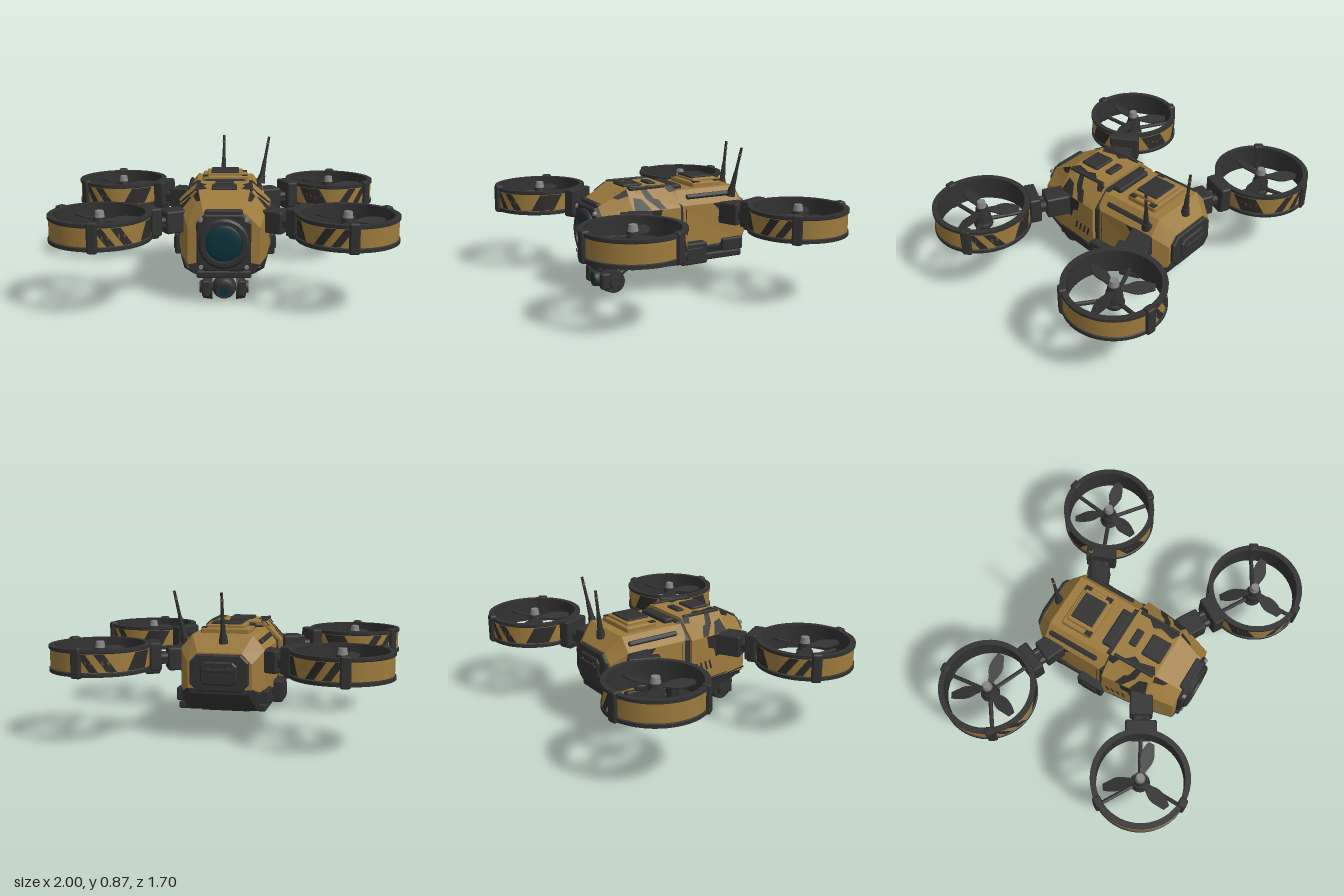
import * as THREE from 'three';
import { toCreasedNormals } from 'three/addons/utils/BufferGeometryUtils.js';
import { RoundedBoxGeometry } from 'three/addons/geometries/RoundedBoxGeometry.js';

const mat = (name, color, extra = {}) => {
  const m = new THREE.MeshStandardMaterial({ color, ...extra });
  m.name = name;
  return m;
};

export function createModel() {
  const root = new THREE.Group();
  root.name = 'quadDrone';
  const gold = mat('ochrePaint', 0x9c7a3c, { side: THREE.DoubleSide });
  const dark = mat('darkPlastic', 0x313131);
  const paint = mat('camoPaint', 0x2c2b29, { side: THREE.DoubleSide });
  const grey = mat('greyMetal', 0x858585);
  const glass = mat('tealGlass', 0x0b323a);

  const add = (parent, name, geo, m, x = 0, y = 0, z = 0) => {
    const mesh = new THREE.Mesh(geo, m);
    mesh.name = name;
    mesh.position.set(x, y, z);
    parent.add(mesh);
    return mesh;
  };
  const box = (parent, name, m, w, h, d, x, y, z, r = 0.012) =>
    add(parent, name, new RoundedBoxGeometry(w, h, d, 1, Math.min(r, w / 3, h / 3, d / 3)), m, x, y, z);
  const pair = (name, m, w, h, d, x, y, z, tilt = 0) => [1, -1].forEach(s => {
    box(root, name, m, w, h, d, s * x, y, z).rotation.z = -s * tilt;
  });
  // Cylinder running between two points
  const rod = (parent, name, m, a, b, r0, r1 = r0, seg = 12) => {
    const A = new THREE.Vector3(...a), B = new THREE.Vector3(...b), d = B.clone().sub(A);
    const mesh = add(parent, name, new THREE.CylinderGeometry(r1, r0, d.length(), seg), m);
    mesh.position.copy(A).add(B).multiplyScalar(0.5);
    mesh.quaternion.setFromUnitVectors(new THREE.Vector3(0, 1, 0), d.normalize());
    return mesh;
  };

  // Six-sided hull sections, listed from rear to front
  const section = (z, tw, ty, sw, sy, bw, by) =>
    [[bw, by], [sw, sy], [tw, ty], [-tw, ty], [-sw, sy], [-bw, by]].map(p => new THREE.Vector3(p[0], p[1], z));
  const loft = rings => {
    const out = [], n = 6, tri = (...p) => p.forEach(v => out.push(v.x, v.y, v.z));
    for (let i = 0; i < rings.length - 1; i++) for (let j = 0; j < n; j++) {
      const k = (j + 1) % n, a = rings[i], b = rings[i + 1];
      tri(a[j], a[k], b[k]);
      tri(a[j], b[k], b[j]);
    }
    const first = rings[0], last = rings[rings.length - 1];
    for (let j = 1; j < n - 1; j++) {
      tri(last[0], last[j], last[j + 1]);
      tri(first[0], first[j + 1], first[j]);
    }
    const g = new THREE.BufferGeometry();
    g.setAttribute('position', new THREE.Float32BufferAttribute(out, 3));
    g.computeVertexNormals();
    return g;
  };
  const rearHull = [
    section(-0.51, 0.13, 0.53, 0.19, 0.47, 0.19, 0.32),
    section(-0.42, 0.18, 0.625, 0.25, 0.54, 0.25, 0.29),
    section(0.0, 0.18, 0.625, 0.255, 0.54, 0.265, 0.27)];
  const frontHull = [
    section(0.012, 0.17, 0.655, 0.285, 0.54, 0.29, 0.25),
    section(0.31, 0.15, 0.655, 0.25, 0.535, 0.255, 0.25),
    section(0.48, 0.12, 0.56, 0.21, 0.47, 0.21, 0.23)];
  add(root, 'rearHull', loft(rearHull), gold);
  add(root, 'frontHull', loft(frontHull), gold);
  add(root, 'hullSeam', loft([section(-0.02, 0.16, 0.635, 0.255, 0.54, 0.268, 0.24),
    section(0.014, 0.16, 0.635, 0.262, 0.54, 0.268, 0.24)]), dark);
  add(root, 'rearUnderside', loft([section(-0.51, 0.18, 0.34, 0.19, 0.33, 0.17, 0.29),
    section(-0.44, 0.22, 0.30, 0.245, 0.27, 0.21, 0.185), section(0, 0.22, 0.28, 0.26, 0.26, 0.24, 0.18)]), dark);
  add(root, 'frontUnderside', loft([section(-0.01, 0.22, 0.28, 0.293, 0.265, 0.275, 0.18),
    section(0.31, 0.22, 0.27, 0.26, 0.255, 0.24, 0.18), section(0.485, 0.16, 0.26, 0.214, 0.25, 0.17, 0.195)]), dark);

  // Flat paint patch on hull panel (i, j); u runs forward, v runs across, both 0..1
  const patch = (name, rings, i, j, uv, both = true) => {
    const g = new THREE.ShapeGeometry(new THREE.Shape(uv.map(p => new THREE.Vector2(...p))));
    const [a, b, c, d] = [rings[i][j], rings[i][j + 1], rings[i + 1][j], rings[i + 1][j + 1]];
    const nrm = b.clone().sub(a).cross(c.clone().sub(a)).normalize().multiplyScalar(0.005);
    const pos = g.attributes.position;
    for (let k = 0; k < pos.count; k++) {
      const u = pos.getX(k), v = pos.getY(k);
      const p = a.clone().lerp(b, v).lerp(c.clone().lerp(d, v), u).add(nrm);
      pos.setXYZ(k, p.x, p.y, p.z);
    }
    g.computeVertexNormals();
    add(root, name, g, paint);
    if (both) add(root, name, g, paint).scale.x = -1;
  };
  for (let k = 0; k < 4; k++) {
    const u = 0.14 + k * 0.12;
    patch('sideSlash', frontHull, 0, 0, [[u, 0.27], [u + 0.05, 0.27], [u - 0.01, 0.47], [u - 0.06, 0.47]]);
  }
  patch('sidePanelLine', frontHull, 0, 0, [[0.03, 0.05], [0.98, 0.05], [0.98, 0.07], [0.03, 0.07]]);
  patch('sideCamo', frontHull, 0, 0, [[0.4, 1], [0.45, 0.75], [0.6, 0.7], [0.66, 0.5], [0.85, 0.55], [0.98, 0.85], [0.95, 1]]);
  patch('shoulderCamo', frontHull, 0, 1, [[0.3, 0], [0.42, 0.45], [0.5, 0.5], [0.6, 1], [0.72, 1], [0.66, 0.5], [0.45, 0]]);
  patch('shoulderCamo', frontHull, 0, 1, [[0.62, 0], [0.75, 0.5], [0.92, 0.6], [0.98, 0]]);
  patch('shoulderCamo', frontHull, 0, 1, [[0, 0.75], [0.12, 0.7], [0.2, 1], [0, 1]]);
  patch('hoodCamo', frontHull, 0, 2, [[0.05, 0], [0.3, 0.05], [0.45, 0.17], [0.6, 0.1], [0.9, 0.16], [1, 0]]);
  patch('noseCamo', frontHull, 1, 1, [[0, 0.7], [0.35, 0.8], [0.5, 1], [0, 1]]);
  patch('rearCamo', rearHull, 1, 0, [[0.1, 1], [0.16, 0.7], [0.3, 0.65], [0.36, 0.85], [0.45, 1]]);
  patch('rearPanelLine', rearHull, 1, 0, [[0.9, 0.12], [0.91, 0.12], [0.91, 0.95], [0.9, 0.95]]);

  // Hood and roof fittings
  pair('hoodTrim', dark, 0.022, 0.018, 0.27, 0.16, 0.657, 0.165);
  box(root, 'hoodHatch', dark, 0.15, 0.03, 0.13, 0, 0.655, 0.23);
  box(root, 'hoodVent', dark, 0.115, 0.025, 0.05, 0, 0.657, 0.09);
  box(root, 'roofBar', dark, 0.26, 0.04, 0.07, 0, 0.632, -0.045);
  box(root, 'roofPlinth', gold, 0.29, 0.045, 0.21, 0, 0.634, -0.255);
  box(root, 'roofDeck', gold, 0.23, 0.03, 0.17, 0, 0.66, -0.255);
  box(root, 'roofPanel', dark, 0.18, 0.016, 0.15, 0, 0.677, -0.248);
  for (const [x, z] of [[-0.125, -0.175], [0.125, -0.33], [0.125, -0.18]])
    box(root, 'roofCamo', paint, 0.035, 0.005, 0.045, x, 0.6565, z, 0.001);
  pair('roofRail', dark, 0.03, 0.025, 0.34, 0.222, 0.588, -0.23, 0.9);

  // Lower side gear and belly
  pair('sidePod', dark, 0.07, 0.135, 0.18, 0.282, 0.25, -0.07);
  pair('sidePodCover', dark, 0.012, 0.075, 0.11, 0.319, 0.25, -0.07);
  pair('rearSidePod', dark, 0.05, 0.08, 0.15, 0.25, 0.27, -0.37);
  pair('skid', dark, 0.05, 0.045, 0.3, 0.235, 0.205, -0.295);
  box(root, 'bellyPlate', dark, 0.3, 0.03, 0.25, 0, 0.172, -0.22);
  box(root, 'bellyHatch', dark, 0.2, 0.014, 0.16, 0, 0.158, -0.22);

  // Rear bulkhead
  const octagon = (w, h, c, depth) => {
    const s = new THREE.Shape([[w - c, -h], [w, c - h], [w, h - c], [w - c, h], [c - w, h], [-w, h - c], [-w, c - h], [c - w, -h]]
      .map(p => new THREE.Vector2(...p)));
    return new THREE.ExtrudeGeometry(s, { depth, bevelEnabled: true, bevelThickness: 0.008, bevelSize: 0.008, bevelSegments: 1 });
  };
  add(root, 'rearBulkhead', octagon(0.165, 0.1, 0.04, 0.02), dark, 0, 0.415, -0.525);
  add(root, 'rearHatch', octagon(0.1, 0.06, 0.02, 0.01), dark, 0, 0.415, -0.54);
  box(root, 'rearHandle', dark, 0.18, 0.02, 0.016, 0, 0.435, -0.553);
  pair('rearHandlePost', dark, 0.02, 0.04, 0.025, 0.06, 0.435, -0.545);

  // Main front lens
  add(root, 'lensHousing', octagon(0.15, 0.16, 0.045, 0.035), dark, 0, 0.385, 0.468);
  const bezel = [[0.148, 0], [0.148, 0.025], [0.135, 0.035], [0.112, 0.035], [0.106, 0.01]].map(p => new THREE.Vector2(...p));
  add(root, 'lensBezel', toCreasedNormals(new THREE.LatheGeometry(bezel, 40), 0.5), dark, 0, 0.385, 0.5).rotation.x = Math.PI / 2;
  const lens = add(root, 'lensGlass', new THREE.SphereGeometry(0.108, 32, 10, 0, Math.PI * 2, 0, Math.PI / 2), glass, 0, 0.385, 0.512);
  lens.rotation.x = Math.PI / 2;
  lens.scale.y = 0.15;
  for (const x of [-0.132, 0.132]) for (const y of [0.245, 0.525])
    rod(root, 'housingBolt', grey, [x, y, 0.5], [x, y, 0.519], 0.013);
  box(root, 'chin', dark, 0.32, 0.045, 0.06, 0, 0.195, 0.475);
  box(root, 'browPlate', dark, 0.22, 0.035, 0.04, 0, 0.56, 0.472);

  // Gimbal camera under the nose
  const gimbal = new THREE.Group();
  gimbal.name = 'gimbalCamera';
  gimbal.position.set(0, 0.085, 0.38);
  root.add(gimbal);
  add(gimbal, 'cameraBall', new THREE.SphereGeometry(0.072, 24, 16), dark);
  rod(gimbal, 'cameraBarrel', dark, [0, 0, 0.04], [0, 0, 0.09], 0.05, 0.045, 24);
  rod(gimbal, 'cameraGlass', glass, [0, 0, 0.085], [0, 0, 0.092], 0.03, 0.03, 24);
  rod(gimbal, 'tiltAxle', dark, [-0.12, 0, 0], [0.12, 0, 0], 0.025);
  for (const s of [-1, 1]) {
    rod(gimbal, 'sidePivot', dark, [s * 0.07, 0, 0], [s * 0.125, 0, 0], 0.075, 0.068, 24);
    box(gimbal, 'sideSensor', dark, 0.05, 0.1, 0.06, s * 0.105, 0.01, 0.055);
    rod(gimbal, 'pivotCap', dark, [s * 0.12, 0, 0], [s * 0.145, 0, 0], 0.04, 0.035, 20);
    rod(gimbal, 'yokeArm', dark, [s * 0.095, 0.03, -0.03], [s * 0.08, 0.085, -0.13], 0.018);
  }
  box(gimbal, 'yokeBridge', dark, 0.2, 0.035, 0.07, 0, 0.08, -0.12);

  // Whip antennas
  for (const [a, b] of [[[-0.015, 0.58, -0.462], [-0.01, 0.875, -0.49]], [[0.235, 0.57, -0.37], [0.29, 0.875, -0.41]]]) {
    const at = t => a.map((v, k) => v + (b[k] - v) * t);
    rod(root, 'antennaBase', dark, at(0), at(0.17), 0.028, 0.022);
    rod(root, 'antennaSleeve', dark, at(0.15), at(0.5), 0.018, 0.012);
    rod(root, 'antennaWhip', dark, at(0.48), at(1), 0.01, 0.008);
    rod(root, 'antennaTip', gold, at(0.84), at(0.87), 0.0115);
  }

  // Shared rotor geometry
  const ringProfile = [[0.262, 0.42], [0.295, 0.42], [0.295, 0.44], [0.284, 0.445], [0.284, 0.55], [0.295, 0.555],
    [0.295, 0.573], [0.262, 0.573], [0.262, 0.42]].map(p => new THREE.Vector2(...p));
  const ringGeo = toCreasedNormals(new THREE.LatheGeometry(ringProfile, 56), 0.6);
  const bandGeo = new THREE.CylinderGeometry(0.288, 0.288, 0.105, 56, 1, true);
  const ringPatch = (centre, width, lean) => {
    const g = new THREE.PlaneGeometry(width, 0.1, 6, 1), p = g.attributes.position;
    for (let i = 0; i < p.count; i++) {
      const y = p.getY(i), t = centre + p.getX(i) + y * lean;
      p.setXYZ(i, 0.2905 * Math.cos(t), 0.4975 + y, 0.2905 * Math.sin(t));
    }
    g.computeVertexNormals();
    return g;
  };
  const bladeShape = new THREE.Shape();
  bladeShape.moveTo(0.02, -0.012);
  bladeShape.bezierCurveTo(0.08, -0.02, 0.1, -0.05, 0.15, -0.042);
  bladeShape.lineTo(0.222, -0.022);
  bladeShape.lineTo(0.228, 0.018);
  bladeShape.bezierCurveTo(0.17, 0.045, 0.12, 0.05, 0.08, 0.025);
  bladeShape.lineTo(0.02, 0.012);
  const bladeGeo = new THREE.ExtrudeGeometry(bladeShape, { depth: 0.008, bevelEnabled: false, curveSegments: 6 });
  bladeGeo.rotateX(-Math.PI / 2);

  // Four ducted rotors; each arm group's +x points toward the hull
  for (const sx of [-1, 1]) for (const sz of [-1, 1]) {
    const rotor = new THREE.Group(), arm = new THREE.Group();
    rotor.name = (sz > 0 ? 'front' : 'rear') + (sx > 0 ? 'Left' : 'Right') + 'Rotor';
    arm.name = 'ductAndArm';
    rotor.position.set(sx * 0.705, 0, sz * 0.54);
    const slope = THREE.MathUtils.degToRad(sz > 0 ? 30 : 22.5);
    arm.rotation.y = -Math.atan2(-sz * Math.sin(slope), -sx * Math.cos(slope));
    rotor.add(arm);
    root.add(rotor);

    add(arm, 'duct', ringGeo, dark);
    add(arm, 'ductBand', bandGeo, gold, 0, 0.4975, 0);
    for (const s of [-1, 1]) {
      add(arm, 'ductStripe', ringPatch(s * 1.87, 0.17, s * 2.5), paint);
      add(arm, 'ductStripe', ringPatch(s * 1.52, 0.2, s * 2.5), paint);
      add(arm, 'ductCamo', ringPatch(s * 0.72, 0.5, -s * 2), paint);
    }
    for (let k = 0; k < 3; k++) {
      const t = k * Math.PI * 2 / 3, c = Math.cos(t), n = Math.sin(t);
      rod(arm, 'spoke', dark, [0.03 * c, 0.445, 0.03 * n], [0.27 * c, 0.445, 0.27 * n], 0.013, 0.013, 8);
      if (k) box(arm, 'ductClamp', dark, 0.05, 0.175, 0.06, 0.283 * c, 0.498, 0.283 * n).rotation.y = -t;
    }
    box(arm, 'armClamp', dark, 0.07, 0.165, 0.19, 0.315, 0.495, 0);
    box(arm, 'clampFoot', dark, 0.09, 0.04, 0.13, 0.3, 0.41, 0);
    for (const z of [-0.03, 0.03]) rod(arm, 'armTube', dark, [0.33, 0.485, z], [0.42, 0.485, z], 0.025);
    box(arm, 'armCore', dark, 0.08, 0.06, 0.1, 0.375, 0.475, 0);
    box(arm, 'armRoot', dark, 0.15, 0.135, 0.14, 0.465, 0.475, 0);

    // Motor and propeller
    const dome = add(rotor, 'motorDome', new THREE.SphereGeometry(0.06, 20, 10), dark, 0, 0.425, 0);
    dome.scale.y = 0.68;
    rod(rotor, 'motor', dark, [0, 0.425, 0], [0, 0.5, 0], 0.055, 0.048, 20);
    rod(rotor, 'propHub', dark, [0, 0.5, 0], [0, 0.548, 0], 0.042, 0.036, 20);
    rod(rotor, 'hubCap', grey, [0, 0.545, 0], [0, 0.585, 0], 0.03, 0.024, 20);
    for (let k = 0; k < 3; k++) {
      const blade = add(rotor, 'blade', bladeGeo, dark, 0, 0.52, 0);
      blade.rotation.order = 'YXZ';
      blade.rotation.set(0.25, THREE.MathUtils.degToRad(14 - 120 * k), 0);
    }
  }
  return root;
}
